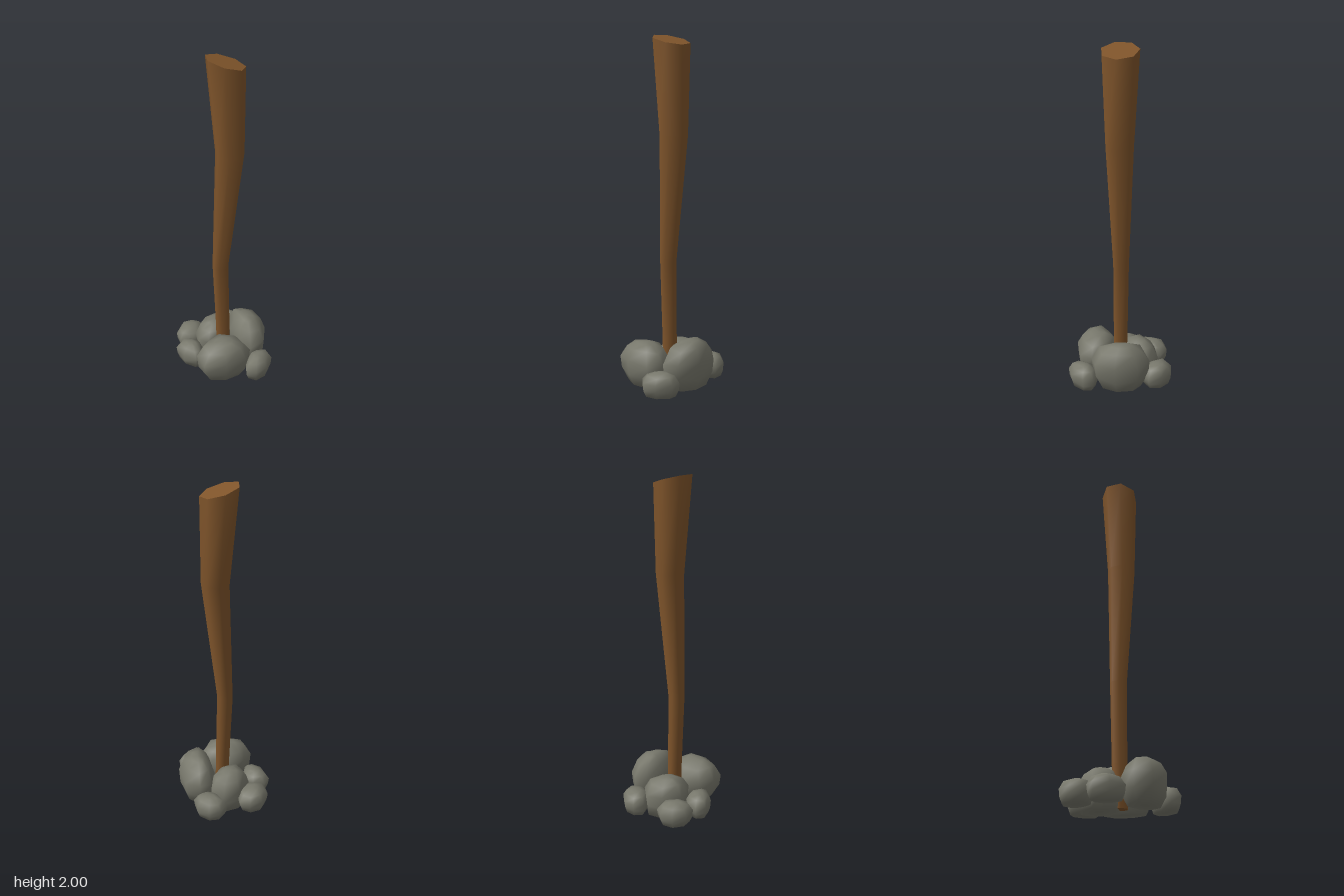
import * as THREE from 'three';

const wood = new THREE.MeshStandardMaterial({ color: 0x80552b });
wood.name = 'wood';
const stone = new THREE.MeshStandardMaterial({ color: 0x78786c });
stone.name = 'stone';

// Closed skin over rings listed from bottom to top; bottom and top are optional cap centres
function loft(rings, bottom, top) {
  const n = rings[0].length;
  const points = rings.flat();
  const index = [];
  for (let r = 0; r < rings.length - 1; r++) {
    for (let i = 0; i < n; i++) {
      const a = r * n + i, b = r * n + (i + 1) % n;
      index.push(a, a + n, b, b, a + n, b + n);
    }
  }
  const last = (rings.length - 1) * n;
  if (bottom) {
    for (let i = 0; i < n; i++) index.push(points.length, i, (i + 1) % n);
    points.push(bottom);
  }
  if (top) {
    for (let i = 0; i < n; i++) index.push(points.length, last + (i + 1) % n, last + i);
    points.push(top);
  }
  const g = new THREE.BufferGeometry().setFromPoints(points);
  g.setIndex(index);
  g.computeVertexNormals();
  return g;
}

function addMesh(parent, name, geometry, material) {
  const mesh = new THREE.Mesh(geometry, material);
  mesh.name = name;
  parent.add(mesh);
}

// Seven-sided bent post, widening to a slanted cut at the top
function createPost() {
  const post = new THREE.Group();
  post.name = 'post';
  const sections = [ // x, y, z, radius, slant
    [0.01, 0.012, 0.017, 0.042, 0],
    [0.006, 0.25, 0.017, 0.043, 0],
    [-0.009, 0.71, 0.017, 0.048, 0],
    [0.043, 1.45, 0.016, 0.082, 0],
    [0.018, 1.971, 0.015, 0.108, -0.29],
  ];
  const rings = sections.map(([x, y, z, r, slant]) =>
    Array.from({ length: 7 }, (_, i) => {
      const a = i * Math.PI * 2 / 7;
      const dx = r * Math.cos(a);
      return new THREE.Vector3(x + dx, y + dx * slant, z + r * Math.sin(a));
    }));
  const top = sections[sections.length - 1];
  addMesh(post, 'postShaft', loft(rings), wood);
  addMesh(post, 'postTop', loft([rings[rings.length - 1]], null, new THREE.Vector3(top[0], top[1], top[2])), wood);
  addMesh(post, 'postBottom', loft([rings[0]], new THREE.Vector3(0.01, 0.012, 0.017)), wood);
  return post;
}

// Boulder: its plan outline, scaled about the middle at a few heights
function rockGeometry(outline, base, height, foot) {
  const cx = outline.reduce((s, p) => s + p[0], 0) / outline.length;
  const cz = outline.reduce((s, p) => s + p[1], 0) / outline.length;
  const levels = [[0, foot], [0.28, 0.95], [0.6, 1], [0.87, 0.74], [0.98, 0.35]];
  const rings = levels.map(([t, s], k) => outline.map(([x, z], i) => {
    // slight unevenness on the inner levels
    const wobble = k > 0 && k < 4 ? 0.035 * height * Math.sin(i * 2.4 + k * 1.7 + cx * 20) : 0;
    return new THREE.Vector3(cx + (x - cx) * s, base + t * height + wobble, cz + (z - cz) * s);
  }));
  return loft(rings, new THREE.Vector3(cx, base, cz), new THREE.Vector3(cx, base + height, cz));
}

const rocks = [
  { name: 'frontRock', base: 0.015, height: 0.245, foot: 0.68, outline: [
    [0.15, 0.165], [0.11, 0.245], [-0.02, 0.29], [-0.15, 0.26],
    [-0.18, 0.165], [-0.13, 0.09], [-0.03, 0.03], [0.1, 0.08]] },
  { name: 'leftRock', base: 0.015, height: 0.275, foot: 0.7, outline: [
    [0.28, 0], [0.245, 0.125], [0.155, 0.165], [0.09, 0.09],
    [0.06, -0.03], [0.08, -0.155], [0.15, -0.185], [0.24, -0.13]] },
  { name: 'backRock', base: 0, height: 0.23, foot: 0.9, outline: [
    [0.09, -0.07], [0.02, 0.02], [-0.09, 0.04], [-0.14, -0.02],
    [-0.15, -0.08], [-0.09, -0.18], [0.01, -0.215], [0.08, -0.165]] },
  { name: 'backLeftPebble', base: 0.015, height: 0.13, foot: 0.8, outline: [
    [0.19, -0.185], [0.13, -0.13], [0.04, -0.15], [-0.01, -0.25],
    [0.03, -0.3], [0.1, -0.308], [0.17, -0.26]] },
  { name: 'backRightPebble', base: 0.015, height: 0.13, foot: 0.8, outline: [
    [-0.08, -0.165], [-0.12, -0.07], [-0.2, -0.055], [-0.25, -0.08],
    [-0.265, -0.15], [-0.225, -0.225], [-0.15, -0.25], [-0.09, -0.22]] },
  { name: 'rightPebble', base: 0.015, height: 0.135, foot: 0.8, outline: [
    [-0.12, 0.03], [-0.14, 0.11], [-0.18, 0.122], [-0.25, 0.07],
    [-0.285, -0.01], [-0.25, -0.06], [-0.18, -0.06], [-0.13, -0.02]] },
  { name: 'frontLeftPebble', base: 0.015, height: 0.135, foot: 0.8, outline: [
    [0.282, 0.19], [0.235, 0.27], [0.16, 0.305], [0.105, 0.27],
    [0.12, 0.2], [0.15, 0.15], [0.2, 0.115], [0.27, 0.13]] },
];

export function createModel() {
  const model = new THREE.Group();
  model.name = 'postInRocks';
  model.add(createPost());
  const pile = new THREE.Group();
  pile.name = 'rockPile';
  for (const r of rocks) addMesh(pile, r.name, rockGeometry(r.outline, r.base, r.height, r.foot), stone);
  model.add(pile);
  return model;
}
